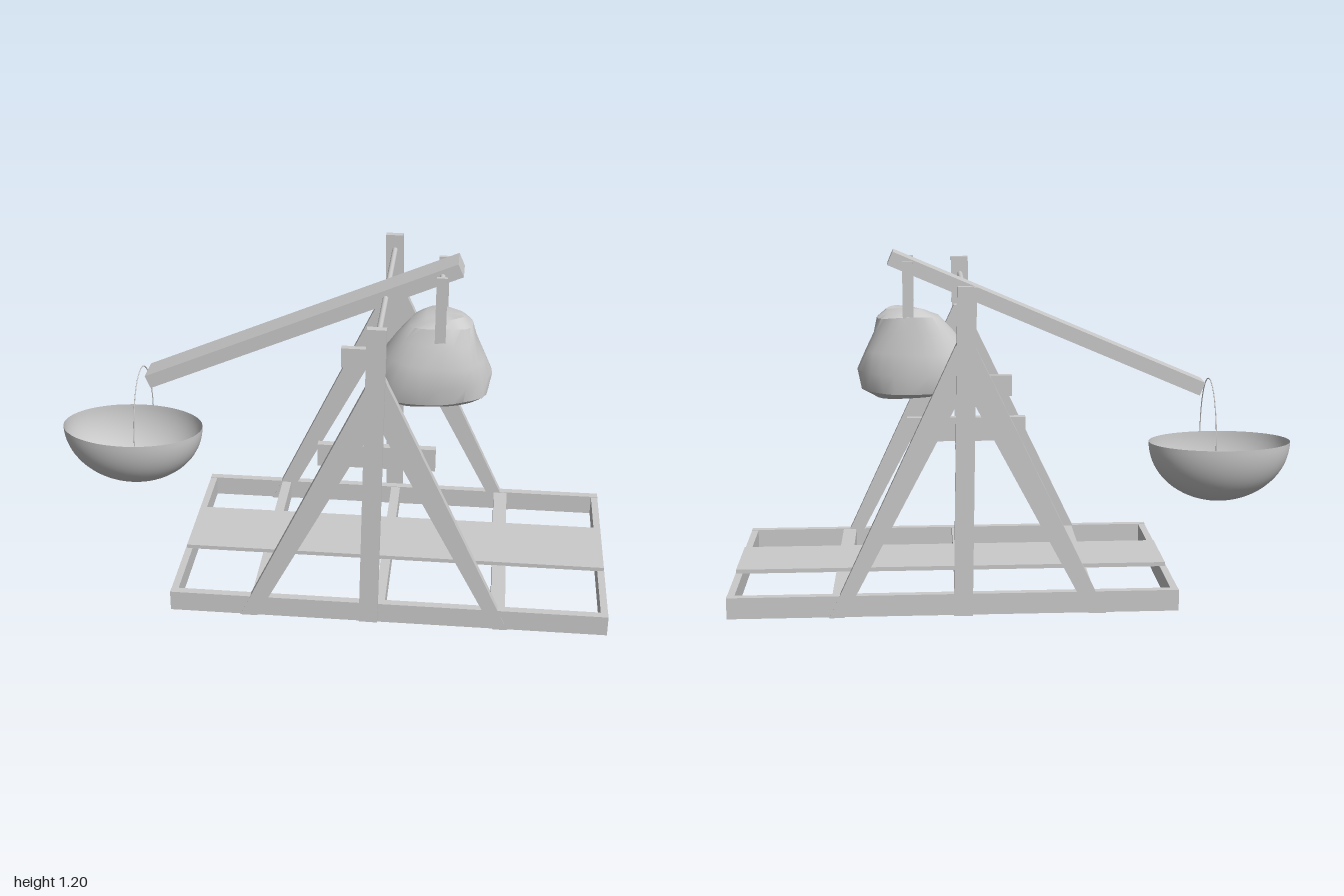
import * as THREE from 'three';
import { toCreasedNormals } from 'three/addons/utils/BufferGeometryUtils.js';

const grey = new THREE.MeshStandardMaterial({ color: 0xcccccc });
const greyDouble = new THREE.MeshStandardMaterial({ color: 0xcccccc, side: THREE.DoubleSide });

export function createModel() {
  const model = new THREE.Group();

  const add = (name, geometry, material = grey, parent = model) => {
    const mesh = new THREE.Mesh(geometry, material);
    mesh.name = name;
    parent.add(mesh);
    return mesh;
  };

  // Box given by its extents along each axis
  const box = (name, [x0, x1], [y0, y1], [z0, z1]) => {
    const mesh = add(name, new THREE.BoxGeometry(x1 - x0, y1 - y0, z1 - z0));
    mesh.position.set((x0 + x1) / 2, (y0 + y1) / 2, (z0 + z1) / 2);
    return mesh;
  };

  // Tilted beam between two points in the xy plane
  const beam = (name, [ax, ay], [bx, by], thickness, [z0, z1]) => {
    const length = Math.hypot(bx - ax, by - ay);
    const mesh = add(name, new THREE.BoxGeometry(length, thickness, z1 - z0));
    mesh.position.set((ax + bx) / 2, (ay + by) / 2, (z0 + z1) / 2);
    mesh.rotation.z = Math.atan2(by - ay, bx - ax);
    return mesh;
  };

  // Round bar running along z
  const bar = (name, x, y, [z0, z1], radius) => {
    const mesh = add(name, new THREE.CylinderGeometry(radius, radius, z1 - z0, 16));
    mesh.rotation.x = Math.PI / 2;
    mesh.position.set(x, y, (z0 + z1) / 2);
    return mesh;
  };

  // Base frame: rails, cross beams and central plank
  for (const [x0, x1] of [[-0.535, -0.51], [-0.245, -0.21], [0.19, 0.225], [0.595, 0.645], [0.975, 1]]) {
    box('crossBeam', [x0, x1], [0.008, 0.078], [-0.405, 0.405]);
  }
  box('plank', [-0.53, 0.998], [0.077, 0.092], [-0.148, 0.132]);

  // Each side: rail, triangular brace and horizontal tie
  const brace = new THREE.Shape([
    [-0.285, 0.003], [-0.225, 0.003], [0.19, 0.79], [0.605, 0.003], [0.655, 0.003], [0.21, 0.955], [0.17, 0.955],
  ].map(([x, y]) => new THREE.Vector2(x, y)));
  const braceGeometry = new THREE.ExtrudeGeometry(brace, { depth: 0.031, bevelEnabled: false });
  for (const side of [1, -1]) {
    const span = (a, b) => (side > 0 ? [a, b] : [-b, -a]);
    box('sideRail', [-0.535, 1], [0.006, 0.08], span(0.402, 0.43));
    add('sideBrace', braceGeometry).position.z = side > 0 ? 0.4 : -0.431;
    box('sideTie', [-0.01, 0.385], [0.605, 0.685], span(0.375, 0.402));
  }

  // Uprights lean very slightly in opposite directions
  beam('frontPost', [0.17, 0.02], [0.187, 1.135], 0.064, [0.43, 0.456]);
  beam('backPost', [0.203, 0.01], [0.183, 1.127], 0.064, [-0.456, -0.43]);
  bar('axle', 0.185, 1.07, [-0.435, 0.435], 0.01);

  // Throwing arm
  beam('throwingArm', [-0.665, 0.708], [0.44, 1.182], 0.05, [-0.072, 0.038]);

  // Counterweight hanger
  bar('hangerPin', 0.378, 1.158, [-0.115, 0.095], 0.01);
  for (const z of [0.09, -0.11]) {
    box('hangerStrap', [0.36, 0.397], [0.85, 1.175], [z - 0.007, z + 0.007]);
  }
  add('counterweightBoulder', boulderGeometry());

  // Bowl with its wire handle
  const bowlProfile = [];
  for (let i = 0; i <= 20; i++) {
    const a = (i / 20) * Math.PI / 2;
    bowlProfile.push(new THREE.Vector2(Math.sin(a), -Math.cos(a)));
  }
  const bowl = add('bowl', new THREE.LatheGeometry(bowlProfile, 48), greyDouble);
  bowl.scale.set(0.258, 0.22, 0.17);
  bowl.position.set(-0.742, 0.505, -0.012);

  const handlePoints = [];
  for (let i = 0; i <= 16; i++) {
    const a = (i / 16) * Math.PI;
    handlePoints.push(new THREE.Vector3(-0.7, 0.505 + 0.23 * Math.sin(a), -0.012 + 0.163 * Math.cos(a)));
  }
  add('bowlHandle', new THREE.TubeGeometry(new THREE.CatmullRomCurve3(handlePoints), 48, 0.002, 6));

  return model;
}

// Rough stone lofted from level sections: y, x range, z range
function boulderGeometry() {
  const levels = [
    [0.692, 0.20, 0.51, -0.09, 0.10],
    [0.715, 0.15, 0.55, -0.13, 0.125],
    [0.78, 0.135, 0.56, -0.146, 0.133],
    [0.85, 0.17, 0.54, -0.135, 0.127],
    [0.92, 0.22, 0.51, -0.125, 0.105],
    [0.975, 0.265, 0.49, -0.118, 0.085],
    [0.998, 0.32, 0.455, -0.085, 0.05],
  ];
  const sides = 26;
  const round = (v) => Math.sign(v) * Math.abs(v) ** 0.85;
  const positions = [];
  const indices = [];
  levels.forEach(([y, x0, x1, z0, z1], j) => {
    for (let i = 0; i < sides; i++) {
      const a = (i / sides) * Math.PI * 2;
      const bump = 0.98 + 0.03 * Math.sin(3 * a + j * 1.3) + 0.015 * Math.sin(7 * a - j * 2.1);
      positions.push(
        (x0 + x1) / 2 + (x1 - x0) / 2 * round(Math.cos(a)) * bump,
        y + 0.006 * Math.sin(2 * a + j),
        (z0 + z1) / 2 + (z1 - z0) / 2 * round(Math.sin(a)) * bump,
      );
    }
  });
  for (let j = 0; j < levels.length - 1; j++) {
    for (let i = 0; i < sides; i++) {
      const a = j * sides + i;
      const b = j * sides + (i + 1) % sides;
      indices.push(a, a + sides, b, b, a + sides, b + sides);
    }
  }
  // Close the bottom and the top
  const bottom = positions.length / 3;
  positions.push(0.36, 0.69, 0, 0.39, 1.002, -0.02);
  const last = (levels.length - 1) * sides;
  for (let i = 0; i < sides; i++) {
    const n = (i + 1) % sides;
    indices.push(bottom, i, n, bottom + 1, last + n, last + i);
  }
  const geometry = new THREE.BufferGeometry();
  geometry.setAttribute('position', new THREE.Float32BufferAttribute(positions, 3));
  geometry.setIndex(indices);
  return toCreasedNormals(geometry, 0.6);
}
